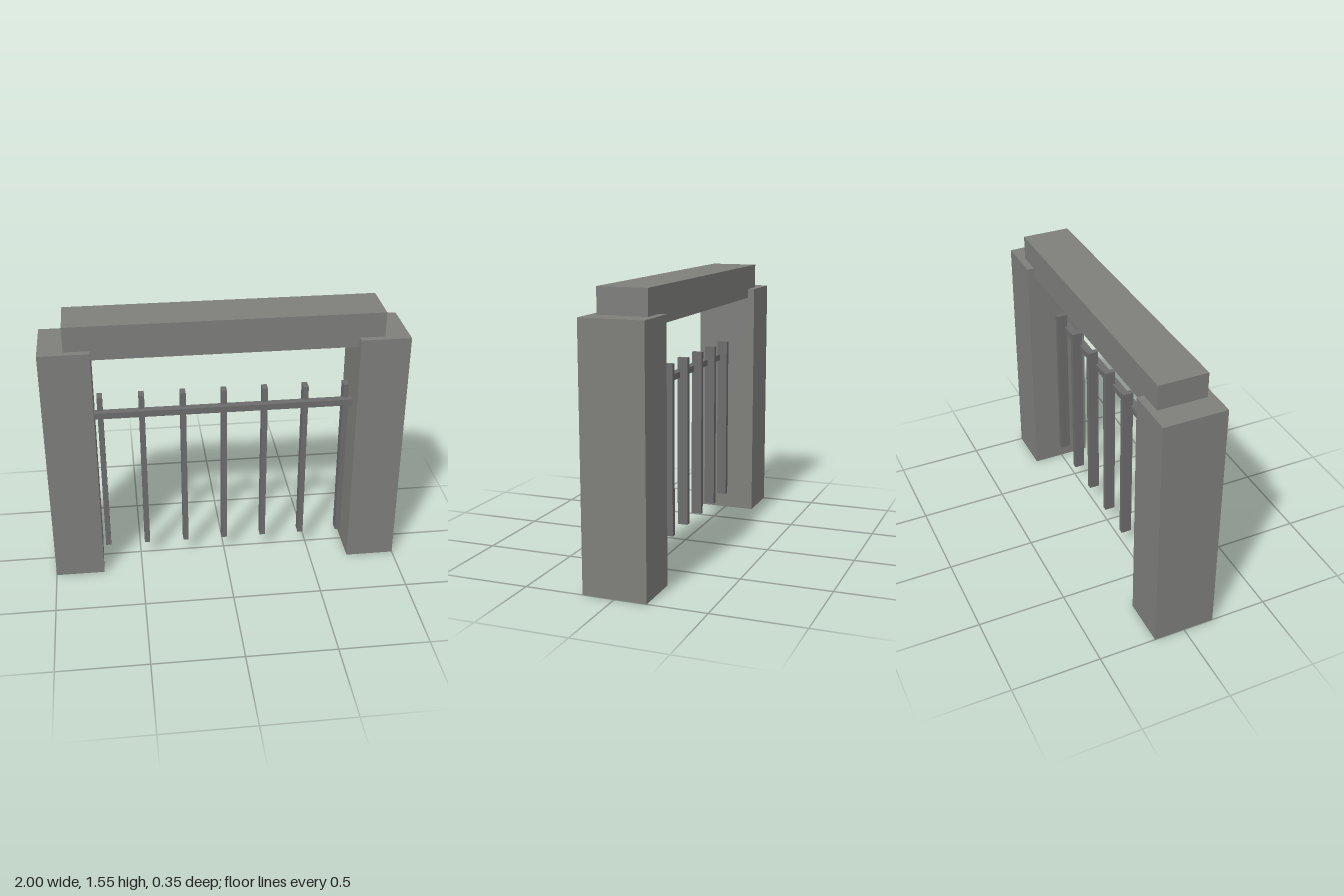
import * as THREE from 'three';

export function createModel() {
  const group = new THREE.Group();
  const stone = new THREE.MeshStandardMaterial({ color: 0x7e7e7b });
  const iron = new THREE.MeshStandardMaterial({ color: 0x6c6c6c });

  // Box given by its size and centre
  function addBox(name, material, size, centre) {
    const mesh = new THREE.Mesh(new THREE.BoxGeometry(...size), material);
    mesh.name = name;
    mesh.position.set(...centre);
    group.add(mesh);
  }

  // Gate posts
  for (const [name, side] of [['leftPost', 1], ['rightPost', -1]]) {
    addBox(name, stone, [0.277, 1.41, 0.352], [side * 0.8615, 0.705, 0]);
  }

  // Lintel sunk into the tops of the posts
  addBox('lintel', stone, [1.726, 0.194, 0.274], [0, 1.453, 0]);

  // Rail from post to post, let into the front of the bars
  addBox('rail', iron, [1.454, 0.036, 0.045], [0, 0.982, 0.051]);

  // Seven upright bars
  for (let i = -3; i <= 3; i++) {
    addBox(`bar${i + 4}`, iron, [0.031, 0.983, 0.06], [i * 0.23, 0.5885, 0.013]);
  }

  return group;
}
